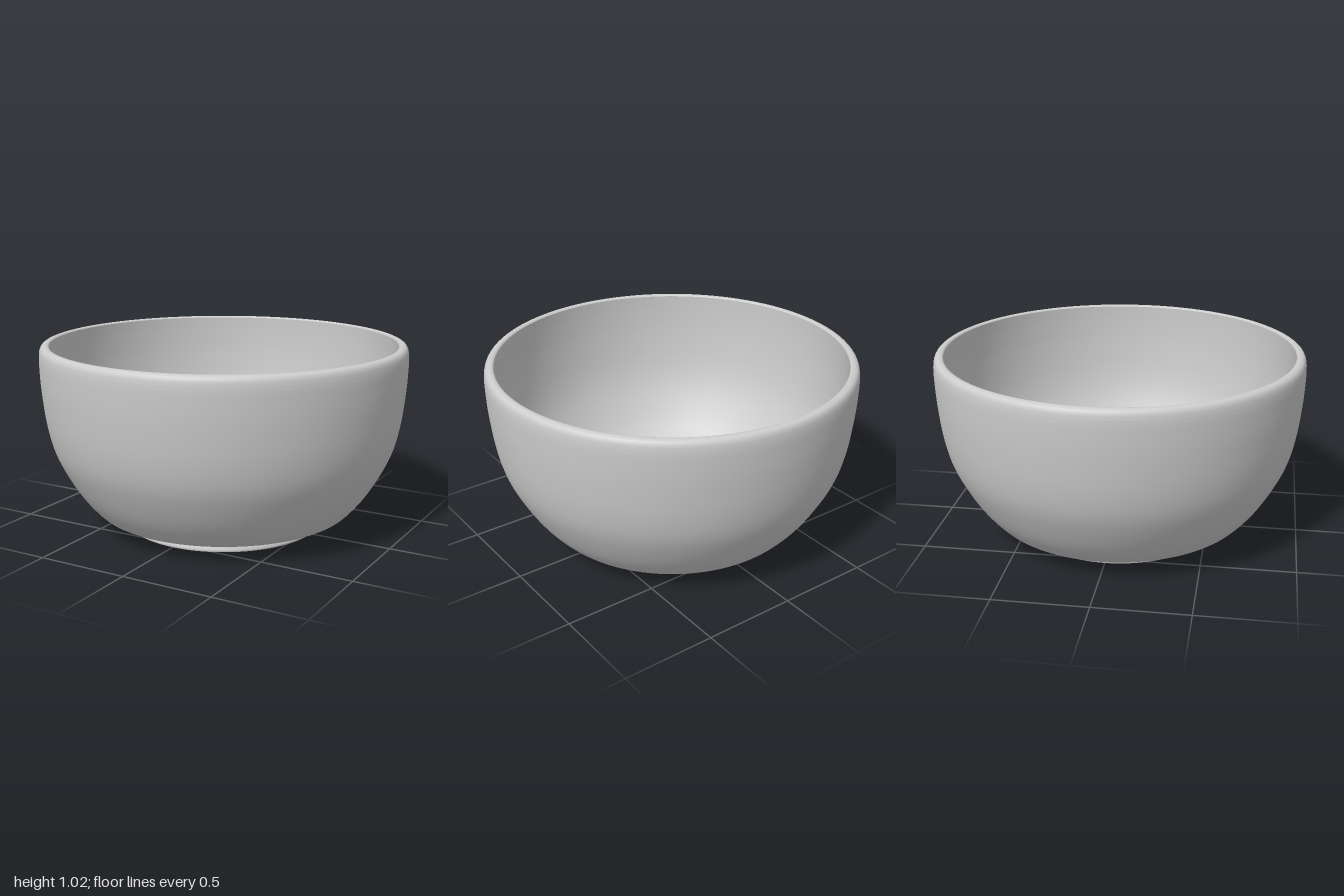
import * as THREE from 'three';

const SEGMENTS = 96;
const material = new THREE.MeshStandardMaterial({ color: 0xcccccc });

// Turn [radius, height] pairs; a smooth profile is splined through its points
function turned(name, pairs, divisions = 0) {
  let points = pairs.map(([r, y]) => new THREE.Vector2(r, y));
  if (divisions) points = new THREE.SplineCurve(points).getPoints(divisions);
  points.forEach((p) => { p.x = Math.max(p.x, 0); });
  const mesh = new THREE.Mesh(new THREE.LatheGeometry(points, SEGMENTS), material);
  mesh.name = name;
  return mesh;
}

export function createModel() {
  const bowl = new THREE.Group();
  bowl.name = 'bowl';

  // Flat underside and short foot ring
  bowl.add(turned('underside', [[0, 0], [0.545, 0]]));
  bowl.add(turned('footRing', [[0.545, 0], [0.547, 0.01], [0.54, 0.03], [0.543, 0.042]], 8));

  // Rounded outer wall
  bowl.add(turned('outerWall', [
    [0.543, 0.042], [0.58, 0.053], [0.65, 0.073], [0.71, 0.098], [0.8, 0.2], [0.88, 0.33],
    [0.937, 0.455], [0.972, 0.6], [0.993, 0.78], [1, 0.92], [0.999, 0.97],
  ], 60));

  // Lip: soft outside corner, crisp inside edge
  bowl.add(turned('rim', [
    [0.999, 0.97], [0.995, 0.995], [0.985, 1.013], [0.968, 1.021], [0.952, 1.02], [0.945, 1.014],
  ], 20));

  // Hollow inside, running from the rim down to a level floor
  bowl.add(turned('innerWall', [
    [0.945, 1.014], [0.944, 0.92], [0.936, 0.78], [0.914, 0.61], [0.88, 0.475],
    [0.825, 0.35], [0.75, 0.23], [0.67, 0.15], [0.58, 0.122], [0.4, 0.108], [0.2, 0.102], [0, 0.1],
  ], 60));

  return bowl;
}
